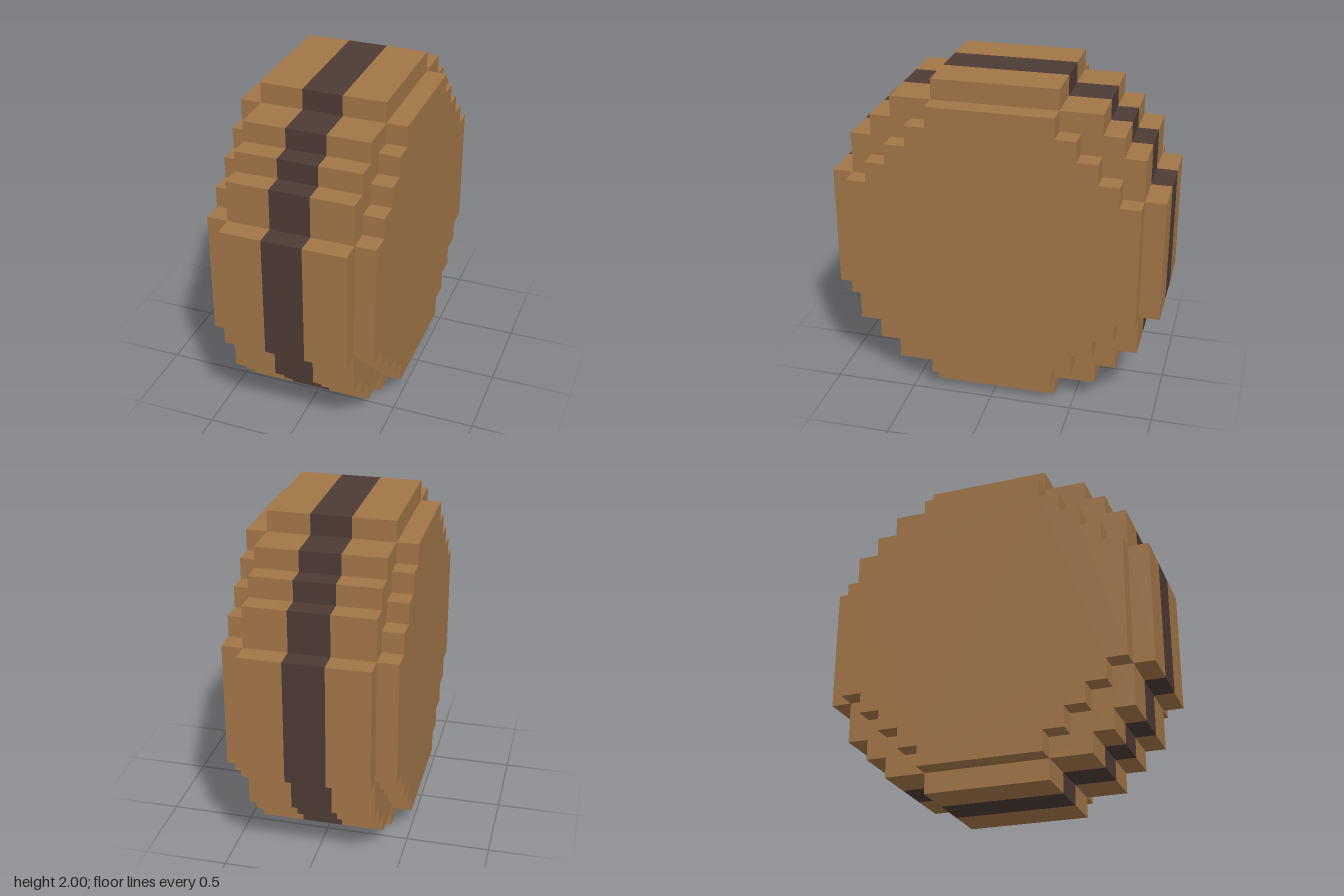
import * as THREE from 'three';

// Half-heights and half-widths of each step, from the middle outwards
const RIM_STEPS = [[0.375, 1], [0.625, 0.875], [0.75, 0.75], [0.875, 0.625], [1, 0.375]];
const FACE_STEPS = [[0.375, 0.875], [0.5, 0.75], [0.625, 0.625], [0.75, 0.5], [0.875, 0.375]];

// Stepped round outline, mirrored into all four quadrants
function steppedDisc(steps) {
  const quarter = [];
  let low = 0;
  for (const [high, half] of steps) {
    if (low > 0) quarter.push([half, low]);
    quarter.push([half, high]);
    low = high;
  }
  const back = [...quarter].reverse();
  const points = [
    ...quarter,
    ...back.map(([u, v]) => [-u, v]),
    ...quarter.map(([u, v]) => [-u, -v]),
    ...back.map(([u, v]) => [u, -v]),
  ];
  return new THREE.Shape(points.map(([u, v]) => new THREE.Vector2(u, v)));
}

// Stepped slab running across the width from x0 to x1
function slab(name, steps, x0, x1, material) {
  const geometry = new THREE.ExtrudeGeometry(steppedDisc(steps), { depth: x1 - x0, bevelEnabled: false });
  geometry.rotateY(Math.PI / 2);
  geometry.translate(x0, 1, 0);
  const mesh = new THREE.Mesh(geometry, material);
  mesh.name = name;
  return mesh;
}

export function createModel() {
  const wood = new THREE.MeshStandardMaterial({ color: 0xa17547 });
  wood.name = 'wood';
  const darkBand = new THREE.MeshStandardMaterial({ color: 0x4d3a35 });
  darkBand.name = 'dark band';

  const group = new THREE.Group();
  group.name = 'steppedWheel';

  // Dark centre band, with a wooden rim and a smaller face disc on each side
  group.add(
    slab('centreBand', RIM_STEPS, -0.12, 0.12, darkBand),
    slab('leftRim', RIM_STEPS, 0.12, 0.375, wood),
    slab('rightRim', RIM_STEPS, -0.375, -0.12, wood),
    slab('leftFace', FACE_STEPS, 0.375, 0.5, wood),
    slab('rightFace', FACE_STEPS, -0.5, -0.375, wood),
  );
  return group;
}
